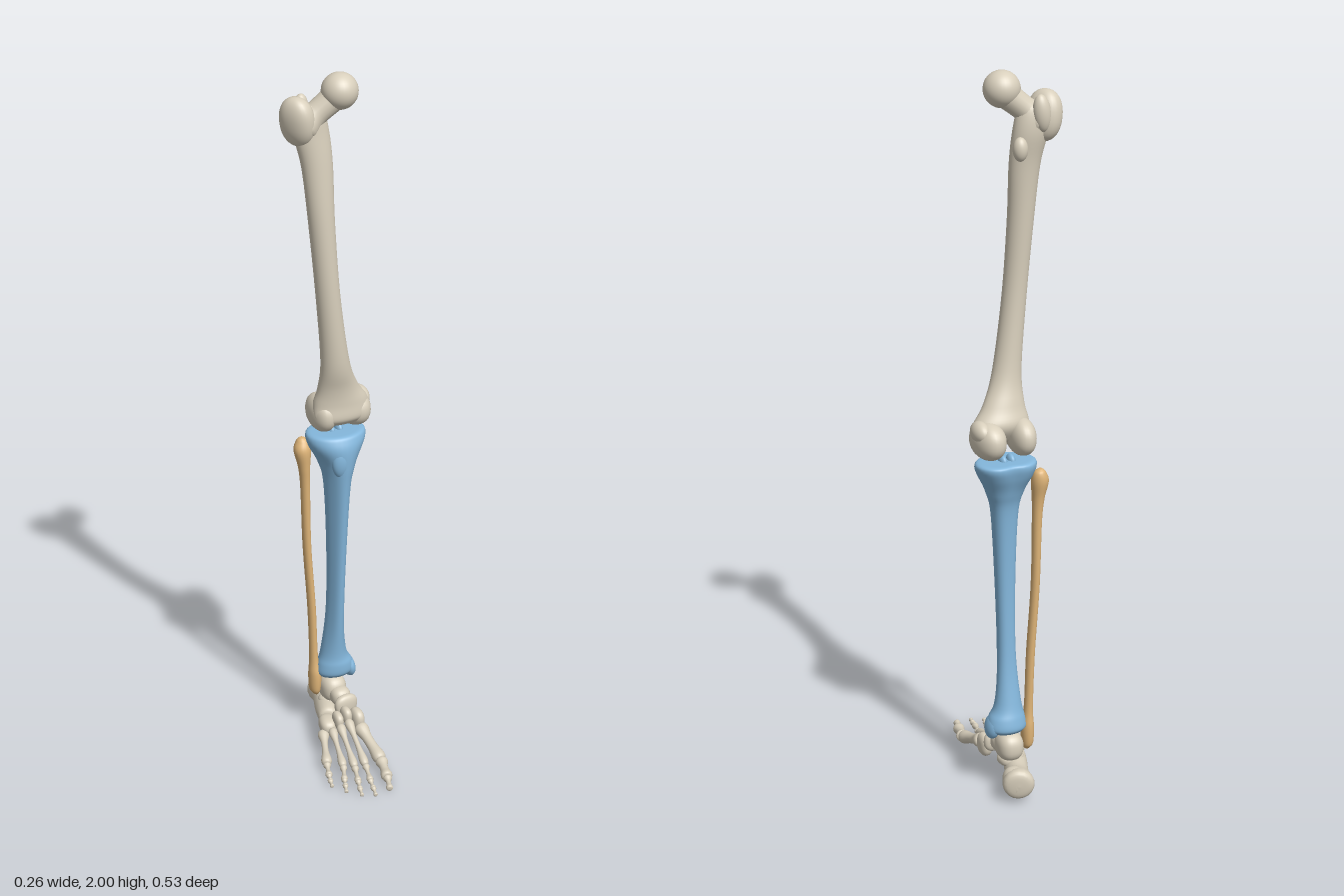
import * as THREE from 'three';
import { mergeVertices } from 'three/addons/utils/BufferGeometryUtils.js';

const mat = (name, color) => Object.assign(new THREE.MeshStandardMaterial({ color }), { name });

// Closed tube of horizontal elliptical rings. Rows, from the bottom up: [y, xMin, xMax, zMin, zMax]
function loft(rows, shape = () => 1, sides = 36) {
  const spline = f => new THREE.CatmullRomCurve3(rows.map(f), false, 'catmullrom', 0.5);
  const mid = spline(([y, a, b, c, d]) => new THREE.Vector3((a + b) / 2, y, (c + d) / 2));
  const rad = spline(([, a, b, c, d]) => new THREE.Vector3((b - a) / 2, 0, (d - c) / 2));
  const steps = (rows.length - 1) * 6, pos = [], idx = [];
  for (let i = 0; i <= steps; i++) {
    const c = mid.getPoint(i / steps), r = rad.getPoint(i / steps);
    for (let j = 0; j < sides; j++) {
      const a = j / sides * Math.PI * 2, k = shape(a, c.y);
      pos.push(c.x + r.x * Math.cos(a) * k, c.y, c.z + r.z * Math.sin(a) * k);
    }
  }
  const at = (i, j) => i * sides + j % sides, n = (steps + 1) * sides;
  for (const i of [0, steps]) pos.push(...mid.getPoint(i / steps).toArray());
  for (let j = 0; j < sides; j++) {
    for (let i = 0; i < steps; i++) {
      idx.push(at(i, j), at(i + 1, j), at(i, j + 1), at(i, j + 1), at(i + 1, j), at(i + 1, j + 1));
    }
    idx.push(n, at(0, j), at(0, j + 1), n + 1, at(steps, j + 1), at(steps, j));
  }
  const g = new THREE.BufferGeometry();
  g.setAttribute('position', new THREE.Float32BufferAttribute(pos, 3));
  g.setIndex(idx);
  g.computeVertexNormals();
  return g;
}

// Ellipsoid, made boxier as p falls below 1
function blob(r, p = 1) {
  let g = new THREE.SphereGeometry(1, 28, 20);
  const a = g.attributes.position, q = v => Math.sign(v) * Math.abs(v) ** p;
  for (let i = 0; i < a.count; i++) {
    a.setXYZ(i, q(a.getX(i)) * r[0], q(a.getY(i)) * r[1], q(a.getZ(i)) * r[2]);
  }
  g.deleteAttribute('uv');
  g.deleteAttribute('normal');
  g = mergeVertices(g, 1e-5);
  g.computeVertexNormals();
  return g;
}

// Waisted bone turned around the line from a to b
function shaft(a, b, r0, rm, r1) {
  const A = new THREE.Vector3(...a), d = new THREE.Vector3(...b).sub(A), L = d.length();
  const pts = [[0, 0], [r0 * 0.75, 0.02], [r0, 0.11], [rm, 0.34], [rm, 0.62], [r1, 0.87], [r1 * 0.75, 0.98], [0, 1]];
  const curve = new THREE.SplineCurve(pts.map(([r, t]) => new THREE.Vector2(r, t * L)));
  const profile = curve.getPoints(28).map(p => new THREE.Vector2(Math.max(p.x, 0), p.y));
  const g = new THREE.LatheGeometry(profile, 18);
  g.applyQuaternion(new THREE.Quaternion().setFromUnitVectors(new THREE.Vector3(0, 1, 0), d.normalize()));
  return g.translate(...a);
}

export function createModel() {
  const bone = mat('bone', 0xd8cfbc), blue = mat('shin blue', 0x84b7dc), tan = mat('outer shin tan', 0xdeb478);
  const model = new THREE.Group();
  model.name = 'legSkeleton';
  const group = name => {
    const g = new THREE.Group();
    g.name = name;
    model.add(g);
    return g;
  };
  const add = (parent, name, geo, material = bone, at = [0, 0, 0], rot = [0, 0, 0]) => {
    const m = new THREE.Mesh(geo, material);
    m.name = name;
    m.position.set(...at);
    m.rotation.set(...rot);
    parent.add(m);
  };

  // Thigh bone
  const thigh = group('thighBone');
  add(thigh, 'thighShaft', loft([
    [1.00, -0.025, 0.095, -0.105, -0.065], [1.02, -0.045, 0.115, -0.125, -0.052], [1.06, -0.045, 0.115, -0.145, -0.053],
    [1.11, -0.036, 0.08, -0.128, -0.05], [1.2, -0.036, 0.043, -0.105, -0.034], [1.4, -0.054, 0.012, -0.095, -0.028],
    [1.6, -0.071, 0.0, -0.102, -0.032], [1.75, -0.085, 0.0, -0.112, -0.042], [1.84, -0.103, -0.005, -0.125, -0.05],
    [1.9, -0.105, -0.02, -0.12, -0.055], [1.92, -0.085, -0.045, -0.1, -0.07],
  ]));
  add(thigh, 'thighHead', new THREE.SphereGeometry(0.049, 32, 24), bone, [0.017, 1.951, -0.065]);
  add(thigh, 'thighNeck', shaft([-0.085, 1.86, -0.09], [0.03, 1.955, -0.066], 0.045, 0.034, 0.036));
  add(thigh, 'outerTrochanter', blob([0.036, 0.068, 0.05], 0.9), bone, [-0.093, 1.878, -0.088], [0, 0.5, 0.15]);
  add(thigh, 'trochanterCrest', blob([0.024, 0.05, 0.022]), bone, [-0.072, 1.89, -0.118], [0, 0, -0.1]);
  add(thigh, 'innerTrochanter', blob([0.02, 0.032, 0.02]), bone, [-0.014, 1.8, -0.112]);
  for (const [name, x, r, turn] of [['innerCondyle', 0.083, 0.041, 0.12], ['outerCondyle', -0.013, 0.036, -0.05]]) {
    add(thigh, name, blob([r, 0.052, 0.065], 0.92), bone, [x, 1.024, -0.121], [0, turn, 0]);
  }
  add(thigh, 'innerEpicondyle', blob([0.025, 0.03, 0.04]), bone, [0.104, 1.05, -0.12]);

  // Main shin bone: front crest, and a notch behind the plateau
  const shin = group('mainShinBone');
  const shinShape = (a, y) => {
    const back = Math.exp(-(((a - Math.PI * 1.5) / 0.4) ** 2)), up = THREE.MathUtils.smoothstep(y, 0.86, 0.95);
    const low = THREE.MathUtils.smoothstep(y, 0.18, 0.35);
    return 1 - 0.2 * back * up - 0.09 * (1 + Math.sin(3 * a)) * low * (1 - up) * 0.8;
  };
  add(shin, 'mainShinShaft', loft([
    [0.175, -0.012, 0.085, -0.178, -0.105], [0.188, -0.02, 0.093, -0.186, -0.095], [0.215, -0.017, 0.088, -0.182, -0.093],
    [0.26, -0.007, 0.068, -0.17, -0.096], [0.4, 0.002, 0.055, -0.15, -0.082], [0.6, -0.001, 0.056, -0.142, -0.066],
    [0.8, -0.01, 0.066, -0.148, -0.05], [0.87, -0.025, 0.086, -0.164, -0.044], [0.92, -0.048, 0.108, -0.186, -0.044],
    [0.948, -0.054, 0.118, -0.194, -0.052], [0.961, -0.046, 0.112, -0.188, -0.062], [0.963, -0.02, 0.085, -0.16, -0.085],
  ], shinShape), blue);
  add(shin, 'innerAnkleKnob', blob([0.019, 0.035, 0.032]), blue, [0.077, 0.19, -0.135], [0, 0, 0.2]);
  add(shin, 'shinTuberosity', blob([0.028, 0.05, 0.02]), blue, [0.02, 0.89, -0.063]);
  for (const x of [0.018, 0.042]) add(shin, 'plateauSpine', blob([0.011, 0.018, 0.02]), blue, [x, 0.96, -0.125]);

  // Slim outer shin bone
  add(group('outerShinBone'), 'outerShinShaft', loft([
    [0.112, -0.026, -0.012, -0.16, -0.14], [0.13, -0.037, -0.006, -0.172, -0.13], [0.18, -0.039, -0.004, -0.174, -0.128],
    [0.24, -0.036, -0.012, -0.168, -0.138], [0.4, -0.041, -0.018, -0.168, -0.138], [0.6, -0.053, -0.03, -0.171, -0.14],
    [0.78, -0.059, -0.033, -0.171, -0.138], [0.85, -0.066, -0.033, -0.174, -0.134], [0.9, -0.077, -0.029, -0.182, -0.132],
    [0.927, -0.068, -0.034, -0.178, -0.144], [0.937, -0.059, -0.046, -0.168, -0.154],
  ], undefined, 20), tan);

  // Heel, ankle and midfoot: [name, centre, radii, turn]
  const foot = group('foot');
  add(foot, 'heelBody', shaft([0.055, 0.056, -0.262], [-0.015, 0.068, -0.075], 0.044, 0.033, 0.031));
  [
    ['heelTuber', [0.05, 0.057, -0.225], [0.031, 0.042, 0.036], 0.3],
    ['heelShelf', [0.025, 0.085, -0.14], [0.037, 0.02, 0.032], 0.2],
    ['ankleBody', [0.03, 0.126, -0.142], [0.037, 0.042, 0.044], 0],
    ['ankleNeck', [0.033, 0.118, -0.098], [0.029, 0.028, 0.03], 0],
    ['navicular', [0.035, 0.106, -0.064], [0.036, 0.031, 0.016], 0.1],
    ['cuboid', [-0.03, 0.064, -0.052], [0.025, 0.024, 0.036], -0.25],
    ['innerCuneiform', [0.049, 0.077, -0.022], [0.018, 0.033, 0.03], 0],
    ['middleCuneiform', [0.018, 0.094, -0.03], [0.014, 0.024, 0.023], 0],
    ['outerCuneiform', [-0.008, 0.084, -0.03], [0.014, 0.024, 0.026], -0.1],
  ].forEach(([name, at, r, turn]) => add(foot, name, blob(r, 0.82), bone, at, [0, turn, 0]));

  // Toe rays: joints from the midfoot to the tip, then thickness of each bone
  const rays = [
    [[[0.042, 0.072, 0.008], [0.046, 0.027, 0.135], [0.028, 0.018, 0.207], [0.012, 0.011, 0.253]], [0.021, 0.018, 0.0125]],
    [[[0.013, 0.09, -0.008], [-0.006, 0.028, 0.14], [-0.022, 0.018, 0.2], [-0.028, 0.012, 0.23], [-0.035, 0.008, 0.259]], [0.0135, 0.0105, 0.0085, 0.0075]],
    [[[-0.012, 0.08, -0.008], [-0.036, 0.026, 0.132], [-0.054, 0.017, 0.188], [-0.062, 0.012, 0.215], [-0.07, 0.008, 0.243]], [0.013, 0.0105, 0.0085, 0.0075]],
    [[[-0.032, 0.066, -0.018], [-0.062, 0.024, 0.112], [-0.084, 0.016, 0.162], [-0.092, 0.012, 0.184], [-0.101, 0.008, 0.208]], [0.013, 0.0105, 0.0085, 0.0075]],
    [[[-0.05, 0.05, -0.04], [-0.096, 0.021, 0.076], [-0.112, 0.015, 0.122], [-0.118, 0.011, 0.142], [-0.124, 0.008, 0.166]], [0.0165, 0.011, 0.0085, 0.0075]],
  ];
  rays.forEach(([joints, radii], k) => radii.forEach((r, i) => {
    const last = i === radii.length - 1;
    const name = i === 0 ? `metatarsal${k + 1}` : `toe${k + 1}Bone${i}`;
    add(foot, name, shaft(joints[i], joints[i + 1], r, r * (k || i > 1 ? 0.58 : 0.72), r * (last ? 0.8 : 0.92)));
  }));

  return model;
}
